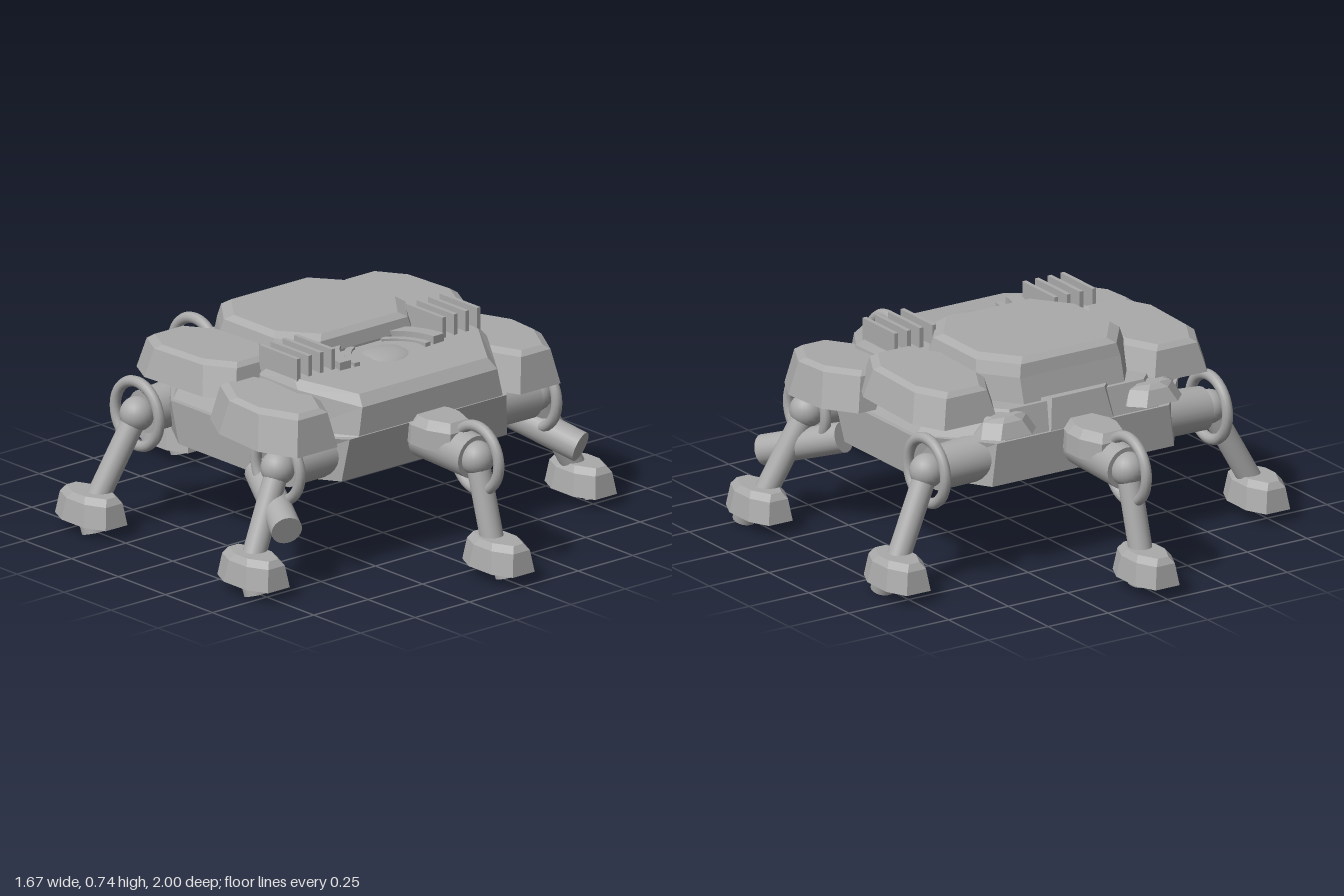
import * as THREE from 'three';

const metal = new THREE.MeshStandardMaterial({ color: 0xaaaaaa });
metal.name = 'plain grey';

// Chamfered rectangle in plan, at a height given as a number or a function of z
function oct(x0, x1, z0, z1, cx, cz, y) {
  const plan = [
    [x1, z1 - cz], [x1, z0 + cz], [x1 - cx, z0], [x0 + cx, z0],
    [x0, z0 + cz], [x0, z1 - cz], [x0 + cx, z1], [x1 - cx, z1],
  ];
  return plan.map(([x, z]) => [x, typeof y === 'function' ? y(z) : y, z]);
}

// Faceted solid through stacked rings, lowest first
function loft(rings) {
  const pos = [];
  const tri = (a, b, c) => pos.push(...a, ...b, ...c);
  const n = rings[0].length;
  for (let k = 0; k < rings.length - 1; k++) {
    for (let i = 0; i < n; i++) {
      const j = (i + 1) % n, lo = rings[k], up = rings[k + 1];
      tri(lo[i], lo[j], up[j]);
      tri(lo[i], up[j], up[i]);
    }
  }
  const top = rings[rings.length - 1], bottom = rings[0];
  for (let i = 1; i < n - 1; i++) {
    tri(top[0], top[i], top[i + 1]);
    tri(bottom[0], bottom[i + 1], bottom[i]);
  }
  const g = new THREE.BufferGeometry();
  g.setAttribute('position', new THREE.Float32BufferAttribute(pos, 3));
  g.computeVertexNormals();
  return g;
}

function add(parent, name, geometry, x = 0, y = 0, z = 0) {
  const m = new THREE.Mesh(geometry, metal);
  m.name = name;
  m.position.set(x, y, z);
  parent.add(m);
  return m;
}

// Cylinder from point a to point b
function rod(parent, name, a, b, ra, rb = ra) {
  const A = new THREE.Vector3(...a), B = new THREE.Vector3(...b);
  const dir = B.clone().sub(A);
  const m = add(parent, name, new THREE.CylinderGeometry(rb, ra, dir.length(), 24));
  m.position.copy(A).add(B).multiplyScalar(0.5);
  m.quaternion.setFromUnitVectors(new THREE.Vector3(0, 1, 0), dir.normalize());
  return m;
}

// Armour block with a sloping wall and a bevelled top edge; s mirrors it in x
function armour(parent, name, s, [x0, x1, z0, z1], [cx, cz], low, high, tilt) {
  const ring = (d, y) => oct(
    Math.min(s * x0, s * x1) + d, Math.max(s * x0, s * x1) - d, z0 + d, z1 - d, cx, cz,
    (z) => y + tilt * (z - (z0 + z1) / 2));
  return add(parent, name, loft([ring(0, low), ring(0.025, high - 0.015), ring(0.045, high)]));
}

// Leg with thigh, hoop, shin, foot and toe knob
function leg(name, root, hip, knee, ankle, foot) {
  const g = new THREE.Group();
  g.name = name;
  rod(g, 'thigh', root, hip, 0.085, 0.078);
  const hoop = add(g, 'kneeHoop', new THREE.TorusGeometry(0.117, 0.02, 10, 36), ...knee);
  hoop.rotation.y = Math.PI / 2;
  add(g, 'kneeJoint', new THREE.SphereGeometry(0.062, 20, 14), ...knee);
  rod(g, 'shin', knee, ankle, 0.042);
  const [fx, fz] = foot;
  const sole = (d, y) => oct(fx - 0.085 + d, fx + 0.085 - d, fz - 0.135 + d, fz + 0.135 - d, 0.035, 0.075, y);
  add(g, 'foot', loft([sole(0, 0.045), sole(0.012, 0.125), sole(0.028, 0.148)]));
  const kx = fx + Math.sign(fx) * 0.03;
  rod(g, 'toeKnob', [kx, 0.075, fz + 0.03], [kx, 0.014, fz + 0.048], 0.046, 0.042);
  return g;
}

export function createModel() {
  const model = new THREE.Group();
  model.name = 'sixLeggedWalker';

  // Hull
  add(model, 'lowerHull', loft([
    oct(-0.55, 0.55, -0.47, 0.47, 0.17, 0.27, 0.335),
    oct(-0.56, 0.56, -0.47, 0.49, 0.2, 0.24, 0.49),
  ]));
  add(model, 'middleHull', loft([
    oct(-0.54, 0.54, -0.46, 0.49, 0.22, 0.22, 0.49),
    oct(-0.48, 0.48, -0.43, 0.4, 0.2, 0.2, 0.59),
  ]));

  // Sloping front shell
  const slope = (drop) => (z) => Math.min(0.672, 0.64 + (0.45 - z) * 0.2) - drop;
  add(model, 'frontShell', loft([
    oct(-0.45, 0.45, -0.1, 0.505, 0.12, 0.19, 0.5),
    oct(-0.435, 0.435, -0.1, 0.5, 0.125, 0.2, slope(0.03)),
    oct(-0.42, 0.42, -0.08, 0.465, 0.125, 0.2, slope(0)),
  ]));

  // Top deck
  add(model, 'topDeck', loft([
    oct(-0.31, 0.31, -0.42, 0.16, 0.1, 0.13, 0.57),
    oct(-0.31, 0.31, -0.39, 0.16, 0.1, 0.13, 0.68),
    oct(-0.3, 0.3, -0.38, 0.15, 0.1, 0.13, 0.725),
    oct(-0.275, 0.275, -0.355, 0.125, 0.1, 0.13, 0.742),
  ]));

  // Low sensor dome between curved guards
  const dome = add(model, 'sensorDome', new THREE.SphereGeometry(0.125, 28, 14), 0, 0.645, 0.25);
  dome.scale.set(1, 0.28, 0.75);
  const guard = (r0, r1, a0, a1, h) => {
    const s = new THREE.Shape();
    s.absarc(0, 0, r1, a0, a1, false);
    s.absarc(0, 0, r0, a1, a0, true);
    return new THREE.ExtrudeGeometry(s, { depth: h, bevelEnabled: false, curveSegments: 14 }).rotateX(-Math.PI / 2);
  };
  for (const [a0, a1] of [[0.05, 1.15], [Math.PI - 1.15, Math.PI - 0.05]]) {
    add(model, 'outerGuard', guard(0.19, 0.24, a0, a1, 0.06), 0, 0.635, 0.31);
    add(model, 'innerGuard', guard(0.15, 0.175, a0, a1, 0.045), 0, 0.635, 0.31);
  }

  for (const s of [1, -1]) {
    // Shoulder armour and rear vents
    armour(model, 'frontArmour', s, [0.35, 0.675, 0.03, 0.495], [0.07, 0.13], 0.49, 0.63, -0.05);
    armour(model, 'rearArmour', s, [0.27, 0.61, -0.425, 0.105], [0.06, 0.11], 0.57, 0.69, 0.03);
    armour(model, 'rearVent', s, [0.19, 0.42, -0.51, -0.36], [0.05, 0.05], 0.515, 0.58, 0);

    // Cooling fins
    for (let i = 0; i < 4; i++) {
      add(model, 'coolingFin', new THREE.BoxGeometry(0.016, 0.09, 0.2), s * (0.255 + i * 0.053), 0.7, 0.18);
    }

    // Corner legs
    for (const f of [1, -1]) {
      const z = f * 0.375;
      model.add(leg(f > 0 ? 'frontSideLeg' : 'rearSideLeg',
        [s * 0.35, 0.42, z], [s * 0.56, 0.41, z], [s * 0.59, 0.41, z],
        [s * 0.74, 0.12, f * 0.415], [s * 0.752, f * 0.432]));
    }

    // Barrels under the front armour
    rod(model, 'barrel', [s * 0.54, 0.345, 0.22], [s * 0.675, 0.235, 0.52], 0.055);
  }

  // Centre legs and their covers
  for (const f of [1, -1]) {
    model.add(leg(f > 0 ? 'frontLeg' : 'rearLeg',
      [0, 0.43, f * 0.42], [0, 0.41, f * 0.74], [0, 0.41, f * 0.75],
      [0, 0.12, f * 0.835], [0, f * 0.865]));
    const a = f > 0 ? 0.42 : -0.68, b = f > 0 ? 0.68 : -0.42;
    add(model, 'hipCover', loft([
      oct(-0.098, 0.098, a, b, 0.035, 0.09, 0.42),
      oct(-0.095, 0.095, a, b, 0.035, 0.09, 0.49),
      oct(-0.07, 0.07, a + 0.025, b - 0.025, 0.03, 0.08, 0.52),
    ]));
  }
  add(model, 'rearBlock', loft([
    oct(-0.17, 0.17, -0.465, -0.3, 0.04, 0.04, 0.49),
    oct(-0.15, 0.15, -0.44, -0.3, 0.04, 0.04, 0.6),
  ]));

  return model;
}
